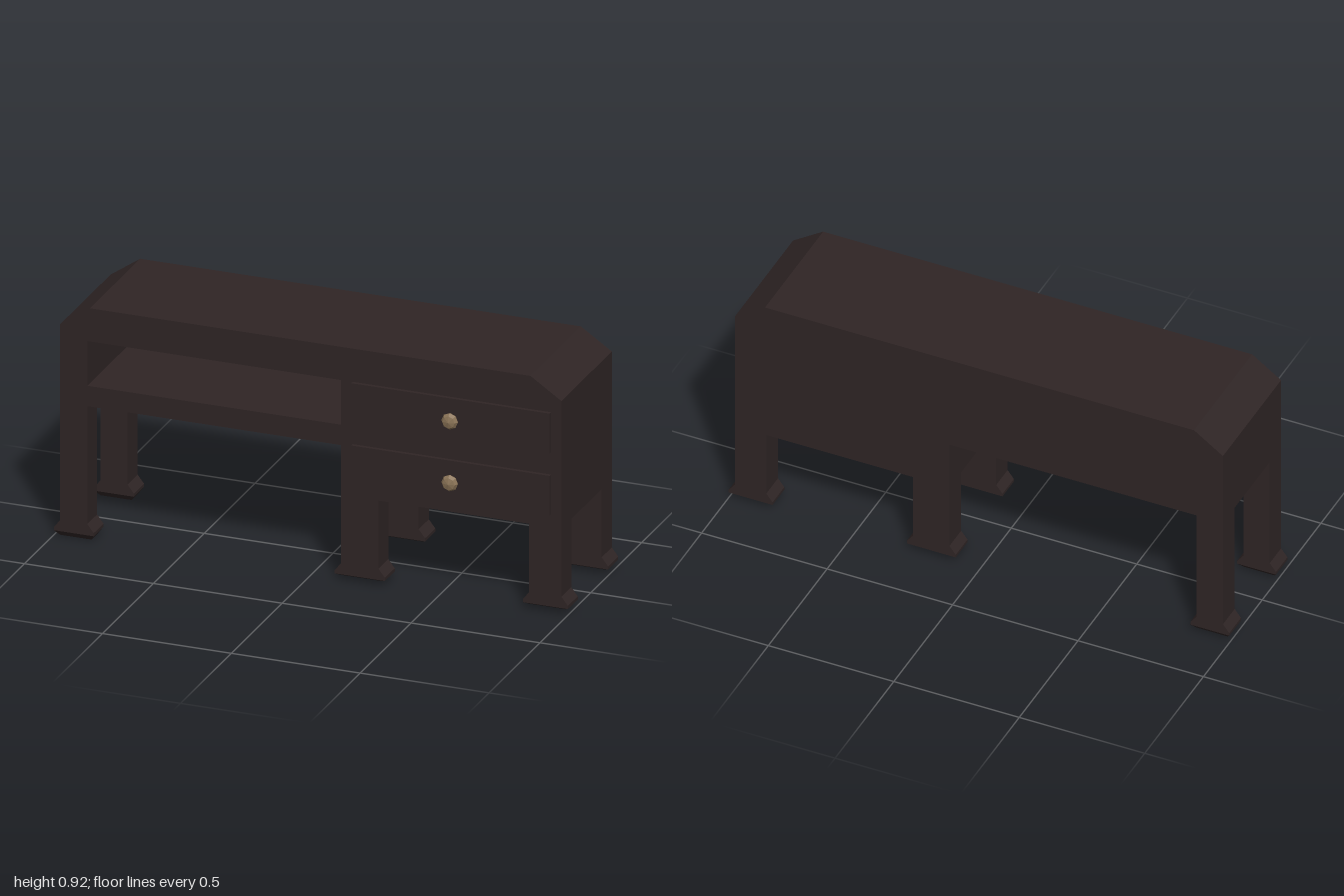
import * as THREE from 'three';

const wood = new THREE.MeshStandardMaterial({ color: 0x2f2525 });
wood.name = 'dark wood';
const brass = new THREE.MeshStandardMaterial({ color: 0x8a7356 });
brass.name = 'aged brass';

const BACK = -0.27, FRONT = 0.225;

function addMesh(parent, name, geometry, material, x = 0, y = 0, z = 0) {
  const mesh = new THREE.Mesh(geometry, material);
  mesh.name = name;
  mesh.position.set(x, y, z);
  parent.add(mesh);
  return mesh;
}

// Solid through stacked rectangles [y, x0, x1, z0, z1], listed bottom to top
function stackedRects(rows) {
  const rings = rows.map(([y, x0, x1, z0, z1]) => [[x0, y, z1], [x1, y, z1], [x1, y, z0], [x0, y, z0]]);
  const pos = [];
  const quad = (a, b, c, d) => pos.push(...a, ...b, ...c, ...a, ...c, ...d);
  for (let r = 0; r < rings.length - 1; r++) {
    for (let i = 0; i < 4; i++) {
      const j = (i + 1) % 4;
      quad(rings[r][i], rings[r][j], rings[r + 1][j], rings[r + 1][i]);
    }
  }
  const b = rings[0], t = rings[rings.length - 1];
  quad(b[3], b[2], b[1], b[0]);
  quad(t[0], t[1], t[2], t[3]);
  const geometry = new THREE.BufferGeometry();
  geometry.setAttribute('position', new THREE.Float32BufferAttribute(pos, 3));
  geometry.computeVertexNormals();
  return geometry;
}

// Cabinet outline with chamfered top corners and a deeper drawer side
function cabinetOutline() {
  return new THREE.Shape([
    [-0.97, 0.53], [0.12, 0.53], [0.12, 0.335], [0.975, 0.335],
    [0.975, 0.835], [0.855, 0.915], [-0.855, 0.915], [-0.97, 0.835],
  ].map(([x, y]) => new THREE.Vector2(x, y)));
}

function extrude(shape, depth) {
  return new THREE.ExtrudeGeometry(shape, { depth, bevelEnabled: false });
}

export function createModel() {
  const desk = new THREE.Group();
  desk.name = 'desk';

  // Cabinet with an open shelf niche, closed by a back panel
  const backThickness = 0.02;
  const carcass = cabinetOutline();
  carcass.holes.push(new THREE.Path([
    [-0.865, 0.61], [-0.865, 0.785], [0.12, 0.785], [0.12, 0.61],
  ].map(([x, y]) => new THREE.Vector2(x, y))));
  addMesh(desk, 'cabinet', extrude(carcass, FRONT - BACK - backThickness), wood, 0, 0, BACK + backThickness);
  addMesh(desk, 'backPanel', extrude(cabinetOutline(), backThickness), wood, 0, 0, BACK);

  // Three pairs of legs with sideways-flared, tapered feet
  const legs = [
    { name: 'right', x0: -0.97, x1: -0.865, top: 0.53, base: 0 },
    { name: 'middle', x0: 0.12, x1: 0.265, top: 0.335, base: 0.012 },
    { name: 'left', x0: 0.85, x1: 0.975, top: 0.335, base: 0.012 },
  ];
  for (const { name, x0, x1, top, base } of legs) {
    for (const [end, z0, z1] of [['Front', 0.128, FRONT], ['Back', BACK, -0.17]]) {
      addMesh(desk, `${name}${end}Leg`, stackedRects([
        [base, x0 - 0.008, x1 + 0.008, z0 + 0.022, z1 - 0.022],
        [0.024, x0 - 0.025, x1 + 0.025, z0, z1],
        [0.036, x0 - 0.025, x1 + 0.025, z0, z1],
        [0.068, x0, x1, z0, z1],
        [top, x0, x1, z0, z1],
      ]), wood);
    }
  }

  // Drawer fronts with faceted knobs
  const knobProfile = [[0.018, 0], [0.03, 0.012], [0.032, 0.018], [0.024, 0.03], [0, 0.036]]
    .map(([r, h]) => new THREE.Vector2(r, h));
  const knobGeometry = new THREE.LatheGeometry(knobProfile, 8).toNonIndexed();
  knobGeometry.computeVertexNormals();
  knobGeometry.rotateX(Math.PI / 2);
  for (const [name, y, knobY] of [['upper', 0.707, 0.702], ['lower', 0.463, 0.46]]) {
    addMesh(desk, `${name}Drawer`, new THREE.BoxGeometry(0.77, 0.156, 0.014), wood, 0.55, y, FRONT + 0.007);
    addMesh(desk, `${name}Knob`, knobGeometry, brass, 0.553, knobY, FRONT + 0.0125);
  }

  return desk;
}
